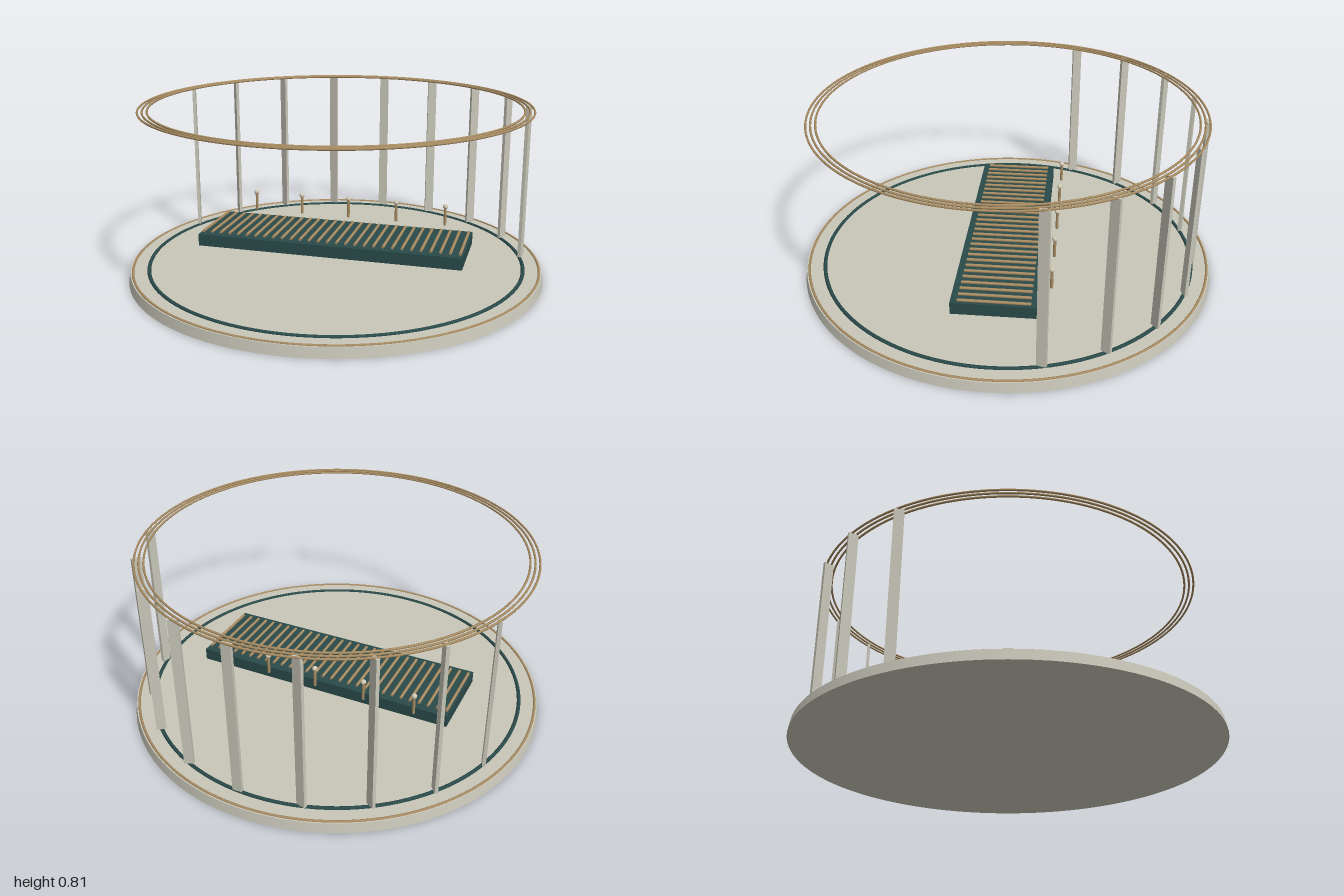
import * as THREE from 'three';

export function createModel() {
  const model = new THREE.Group();
  const mat = (name, color) => Object.assign(new THREE.MeshStandardMaterial({ color }), { name });
  const stone = mat('pale stone', 0xc9c7b9);
  const brass = mat('brass', 0xa88c62);
  const teal = mat('dark teal', 0x2a4a4a);
  const pearl = mat('pearl', 0xd2cbb4);

  const add = (parent, name, geometry, material, x = 0, y = 0, z = 0) => {
    const mesh = new THREE.Mesh(geometry, material);
    mesh.name = name;
    mesh.position.set(x, y, z);
    parent.add(mesh);
    return mesh;
  };
  const group = (name) => {
    const g = new THREE.Group();
    g.name = name;
    model.add(g);
    return g;
  };
  const ring = (name, radius, tube, y, material) =>
    add(model, name, new THREE.TorusGeometry(radius, tube, 8, 128).rotateX(Math.PI / 2), material, 0, y);

  // Round base with its inlaid rings
  add(model, 'base', new THREE.CylinderGeometry(0.992, 1, 0.046, 128), stone, 0, 0.023);
  ring('baseEdgeRing', 0.98, 0.006, 0.046, brass);
  ring('baseInnerRing', 0.905, 0.009, 0.046, teal);

  // Three hoops at the top
  for (const radius of [0.873, 0.895, 0.916]) ring('topHoop', radius, 0.005, 0.808, brass);

  // Thin blades around the back, each turned about its own axis
  const blades = group('blades');
  const bladeGeo = new THREE.BoxGeometry(0.045, 0.75, 0.016);
  for (let i = 0; i < 9; i++) {
    const a = 0.25 + i * 0.32;
    const blade = add(blades, 'blade', bladeGeo, stone, 0.908 * Math.cos(a), 0.432, -0.908 * Math.sin(a));
    blade.rotation.y = Math.PI / 2 - a;
  }

  // Deck with a row of round slats
  add(model, 'deck', new THREE.BoxGeometry(1.29, 0.058, 0.388), teal, 0, 0.141);
  const slats = group('slats');
  const slatGeo = new THREE.CylinderGeometry(0.007, 0.007, 0.324, 10).rotateX(Math.PI / 2);
  for (let i = -14; i <= 14; i++) add(slats, 'slat', slatGeo, brass, i * 0.045, 0.178, 0);

  // Pins with round heads behind the deck
  const pins = group('pins');
  const stemGeo = new THREE.CylinderGeometry(0.007, 0.007, 0.095, 12);
  const headGeo = new THREE.SphereGeometry(0.013, 16, 12);
  for (let i = -2; i <= 2; i++) {
    add(pins, 'pinStem', stemGeo, brass, i * 0.25, 0.225, -0.243);
    add(pins, 'pinHead', headGeo, pearl, i * 0.25, 0.275, -0.243);
  }
  return model;
}
